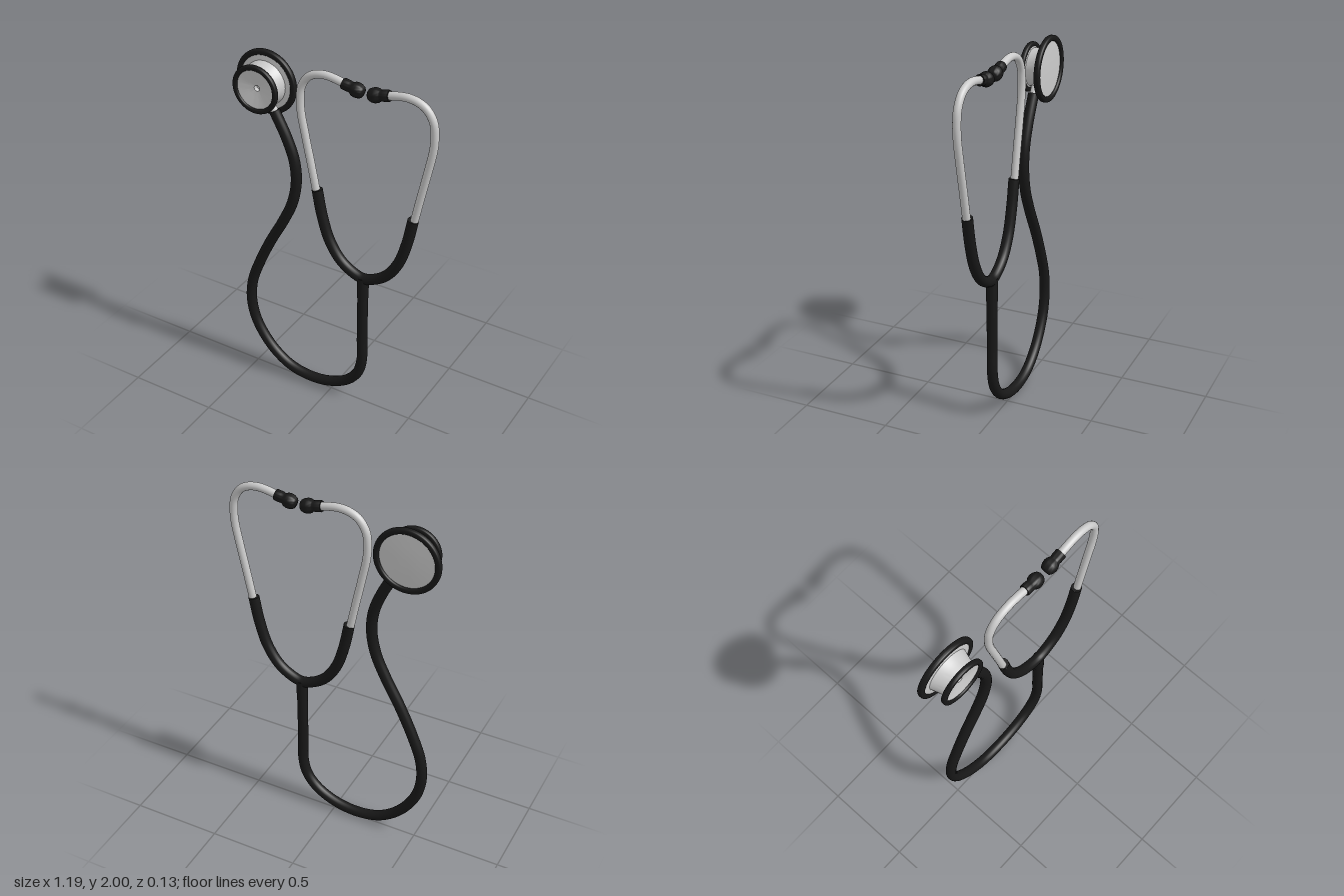
import * as THREE from 'three';
import { mergeGeometries, toCreasedNormals } from 'three/addons/utils/BufferGeometryUtils.js';

const grey = new THREE.MeshStandardMaterial({ color: 0xcccccc });
const black = new THREE.MeshStandardMaterial({ color: 0x181818 });
const AXIS = 0.196; // x of the headset's mirror line

function mesh(name, geometry, material) {
  const m = new THREE.Mesh(geometry, material);
  m.name = name;
  return m;
}

// Round tube with flat end caps through [x, y] points in the z = 0 plane
function tube(points, radius, segments) {
  const curve = new THREE.CatmullRomCurve3(points.map(([x, y]) => new THREE.Vector3(x, y, 0)), false, 'centripetal');
  const parts = [new THREE.TubeGeometry(curve, segments, radius, 20)];
  for (const t of [0, 1]) {
    const out = curve.getTangentAt(t).multiplyScalar(t ? 1 : -1);
    const cap = new THREE.CircleGeometry(radius, 20);
    cap.applyQuaternion(new THREE.Quaternion().setFromUnitVectors(new THREE.Vector3(0, 0, 1), out));
    cap.translate(...curve.getPointAt(t).toArray());
    parts.push(cap);
  }
  return mergeGeometries(parts);
}

// Revolved [radius, z] profile about the z axis
function latheZ(profile) {
  const g = new THREE.LatheGeometry(profile.map(([r, z]) => new THREE.Vector2(r, z)), 64);
  return g.rotateX(Math.PI / 2);
}

// Ring with a softly squared cross-section
function rim(rIn, rOut, z0, z1) {
  const soft = (v) => Math.sign(v) * Math.abs(v) ** 0.7;
  const profile = [];
  for (let i = 0; i <= 20; i++) {
    const a = (i / 20) * Math.PI * 2;
    profile.push([
      (rIn + rOut) / 2 + ((rOut - rIn) / 2) * soft(Math.cos(a)),
      (z0 + z1) / 2 + ((z1 - z0) / 2) * soft(Math.sin(a)),
    ]);
  }
  return latheZ(profile);
}

function createChestpiece() {
  const g = new THREE.Group();
  g.name = 'chestpiece';
  // Waisted body: diaphragm at the back, dished bell with a small bore at the front
  const body = latheZ([
    [0, -0.06], [0.08, -0.059], [0.152, -0.056], [0.154, -0.044], [0.121, -0.04],
    [0.112, -0.015], [0.105, 0.01], [0.101, 0.038], [0.112, 0.042], [0.112, 0.055],
    [0.09, 0.051], [0.05, 0.042], [0.016, 0.036], [0.014, 0.015], [0, 0.015],
  ]);
  g.add(mesh('chestpieceBody', toCreasedNormals(body, 0.6), grey));
  g.add(mesh('diaphragmRim', rim(0.147, 0.178, -0.07, -0.037), black));
  g.add(mesh('bellRim', rim(0.106, 0.133, 0.037, 0.065), black));
  g.position.set(-0.415, 1.82, 0);
  return g;
}

// One side of the headset, drawn on the -x side of the mirror line
function createHeadsetSide(name, side) {
  const g = new THREE.Group();
  g.name = name;
  const at = (pts) => pts.map(([x, y]) => [AXIS + side * (AXIS - x), y]);

  g.add(mesh('earTube', tube(at([
    [-0.088, 1.29], [-0.122, 1.46], [-0.153, 1.61], [-0.177, 1.74], [-0.18, 1.82], [-0.17, 1.885],
    [-0.133, 1.943], [-0.085, 1.97], [-0.03, 1.979], [0.02, 1.974], [0.09, 1.958],
  ]), 0.021, 90), grey));

  // Ear tip: collar, neck and bulb along a slightly drooping axis
  const tip = new THREE.LatheGeometry([
    [0, 0], [0.027, 0], [0.029, 0.004], [0.029, 0.034], [0.027, 0.045], [0.029, 0.051],
    [0.036, 0.062], [0.039, 0.077], [0.037, 0.093], [0.031, 0.108], [0.024, 0.115], [0, 0.117],
  ].map(([r, y]) => new THREE.Vector2(r, y)), 28);
  const earTip = mesh('earTip', toCreasedNormals(tip, 0.8), black);
  earTip.position.set(AXIS + side * (AXIS - 0.067), 1.963, 0);
  earTip.quaternion.setFromUnitVectors(
    new THREE.Vector3(0, 1, 0), new THREE.Vector3(-side, -0.22, 0).normalize());
  g.add(earTip);
  return g;
}

export function createModel() {
  const model = new THREE.Group();
  model.name = 'stethoscope';

  model.add(createChestpiece());

  // Metal stem joining the chestpiece to the hose
  model.add(mesh('stem', tube([[-0.375, 1.76], [-0.345, 1.715], [-0.315, 1.66]], 0.02, 6), grey));

  // Long looping hose
  model.add(mesh('hose', tube([
    [-0.337, 1.7], [-0.265, 1.56], [-0.222, 1.438], [-0.212, 1.316], [-0.238, 1.18],
    [-0.3, 1.04], [-0.386, 0.88], [-0.466, 0.705], [-0.513, 0.573], [-0.527, 0.44],
    [-0.503, 0.313], [-0.44, 0.196], [-0.36, 0.11], [-0.265, 0.053], [-0.143, 0.031],
    [-0.016, 0.048], [0.1, 0.106], [0.17, 0.19], [0.196, 0.29], [0.196, 0.45], [0.196, 0.845],
  ], 0.029, 200), black));

  // Forked yoke tubing, mirrored about the headset axis
  const half = [[-0.085, 1.31], [-0.055, 1.157], [-0.01, 1.018], [0.055, 0.919], [0.127, 0.867]];
  const mirrored = half.map(([x, y]) => [2 * AXIS - x, y]).reverse();
  model.add(mesh('yoke', tube([...half, [AXIS, 0.846], ...mirrored], 0.029, 100), black));

  // Sleeve where the hose meets the yoke
  const sleeve = mesh('sleeve', new THREE.CylinderGeometry(0.031, 0.031, 0.13, 24), black);
  sleeve.position.set(AXIS, 0.79, 0);
  model.add(sleeve);

  model.add(createHeadsetSide('rightHeadset', -1), createHeadsetSide('leftHeadset', 1));
  return model;
}
